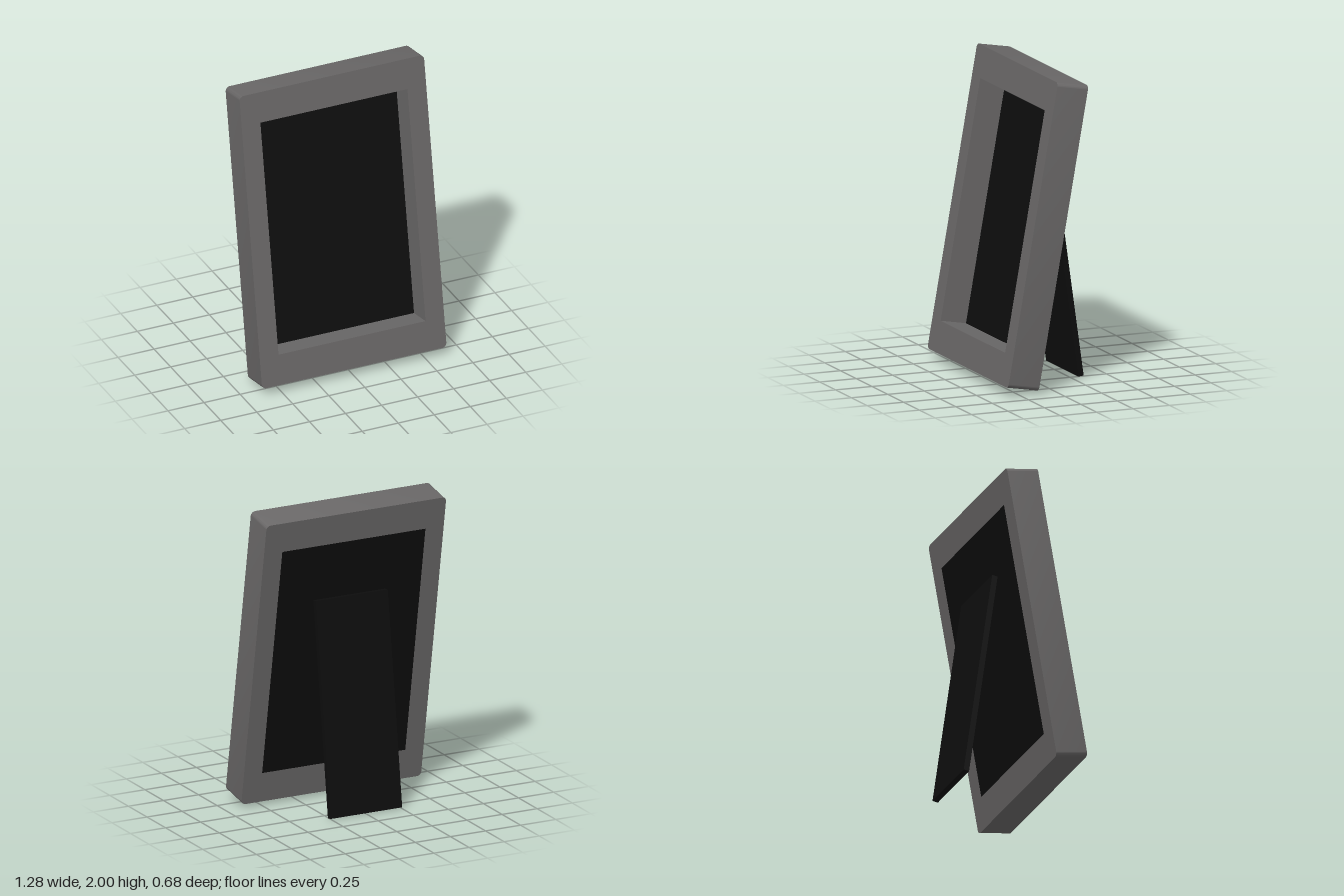
import * as THREE from 'three';
import { toCreasedNormals } from 'three/addons/utils/BufferGeometryUtils.js';

const WIDTH = 1.28, HEIGHT = 1.97, DEPTH = 0.213, CORNER = 0.03;
const OPEN_W = 1.02, OPEN_H = 1.564, RECESS = 0.176;
const DEG = Math.PI / 180;

function roundedRect(w, h, r) {
  const x = w / 2, y = h / 2;
  const s = new THREE.Shape();
  s.moveTo(-x + r, -y);
  s.lineTo(x - r, -y);
  s.absarc(x - r, -y + r, r, -Math.PI / 2, 0);
  s.lineTo(x, y - r);
  s.absarc(x - r, y - r, r, 0, Math.PI / 2);
  s.lineTo(-x + r, y);
  s.absarc(-x + r, y - r, r, Math.PI / 2, Math.PI);
  s.lineTo(-x, -y + r);
  s.absarc(-x + r, -y + r, r, Math.PI, Math.PI * 1.5);
  return s;
}

function namedMesh(name, geometry, material) {
  const mesh = new THREE.Mesh(geometry, material);
  mesh.name = name;
  return mesh;
}

export function createModel() {
  const model = new THREE.Group();
  model.name = 'pictureFrame';
  const frameMat = new THREE.MeshStandardMaterial({ color: 0x696767 });
  const blackMat = new THREE.MeshStandardMaterial({ color: 0x0d0d0d });

  // Leaning body: surround and backing share one tilt
  const body = new THREE.Group();
  body.name = 'leaningBody';
  body.position.set(0, 1.011, 0.067);
  body.rotation.x = -10 * DEG;
  model.add(body);

  // Surround with rounded corners and a square opening
  const shape = roundedRect(WIDTH, HEIGHT, CORNER);
  const ox = OPEN_W / 2, oy = OPEN_H / 2;
  shape.holes.push(new THREE.Path([
    new THREE.Vector2(-ox, -oy), new THREE.Vector2(-ox, oy),
    new THREE.Vector2(ox, oy), new THREE.Vector2(ox, -oy),
  ]));
  const surround = new THREE.ExtrudeGeometry(shape, { depth: DEPTH, bevelEnabled: false, curveSegments: 6 });
  surround.translate(0, 0, -DEPTH / 2);
  body.add(namedMesh('surround', toCreasedNormals(surround, 0.6), frameMat));

  // Backing panel closes the opening, flush with the rear
  const thick = DEPTH - RECESS;
  const backing = namedMesh('backingPanel', new THREE.BoxGeometry(OPEN_W, OPEN_H, thick), blackMat);
  backing.position.z = -DEPTH / 2 + thick / 2;
  body.add(backing);

  // Easel leg leaning against the back
  const leg = namedMesh('easelLeg', new THREE.BoxGeometry(0.51, 1.4, 0.037), blackMat);
  leg.position.set(0, 0.696, -0.226);
  leg.rotation.x = 8 * DEG;
  model.add(leg);

  return model;
}
